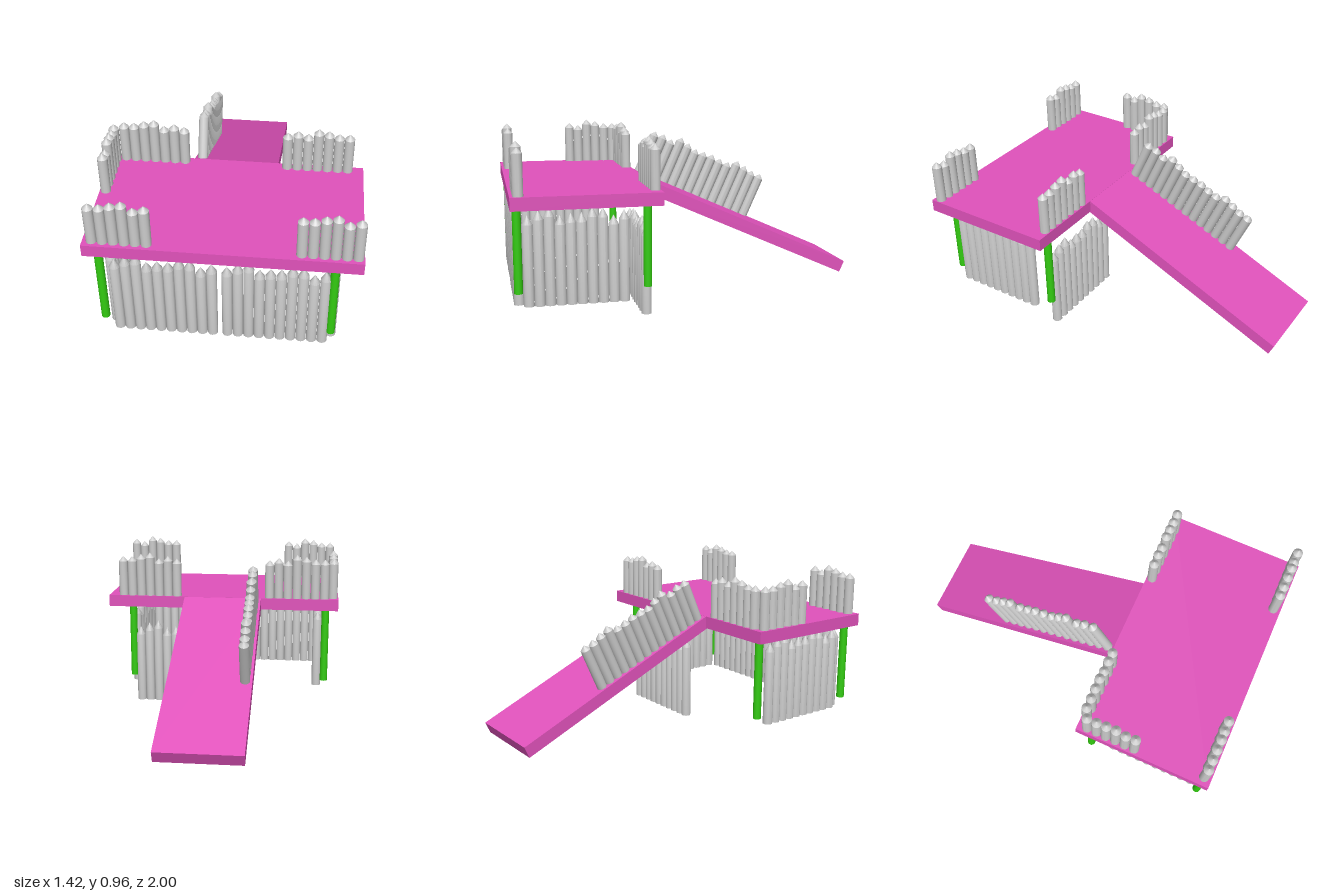
import * as THREE from 'three';
import { toCreasedNormals } from 'three/addons/utils/BufferGeometryUtils.js';

const PITCH = 0.0562;
const R = 0.028;
// Picket lengths, repeated along every fence
const UPPER = [0.245, 0.245, 0.26, 0.27, 0.235, 0.25, 0.235];
const LOWER = [0.485, 0.51, 0.525, 0.48, 0.49, 0.49, 0.515, 0.51, 0.47, 0.495];
const RAMP = [0.27, 0.275, 0.265, 0.3, 0.285, 0.27, 0.275, 0.28, 0.275, 0.275, 0.305, 0.295, 0.285, 0.285];

const grey = new THREE.MeshStandardMaterial({ color: 0xcccccc });
const pink = new THREE.MeshStandardMaterial({ color: 0xe052bb });
const green = new THREE.MeshStandardMaterial({ color: 0x33cc11 });

// Round post with a pointed top
function picketGeometry(length, tip) {
  const profile = [[0, 0], [R, 0], [R, length - tip], [0, length]].map(([x, y]) => new THREE.Vector2(x, y));
  return toCreasedNormals(new THREE.LatheGeometry(profile, 14), 0.6);
}

// Row of pickets starting at `start` and running along the unit vector `dir`
function fence(name, lengths, count, start, dir, tip) {
  const row = new THREE.Group();
  row.name = name;
  for (let i = 0; i < count; i++) {
    const picket = new THREE.Mesh(picketGeometry(lengths[i % lengths.length], tip), grey);
    picket.name = 'picket';
    picket.position.set(...start).addScaledVector(new THREE.Vector3(...dir), i * PITCH);
    row.add(picket);
  }
  return row;
}

export function createModel() {
  const model = new THREE.Group();
  model.name = 'playPlatform';

  // Deck
  const deck = new THREE.Mesh(new THREE.BoxGeometry(1.425, 0.07, 0.785), pink);
  deck.name = 'deck';
  deck.position.set(-0.002, 0.66, 0.6075);
  model.add(deck);

  // Ramp with its railing; local -z runs down the slope, y = 0 is its top
  const ramp = new THREE.Group();
  ramp.name = 'ramp';
  const length = Math.hypot(1.215, 0.543);
  const board = new THREE.Mesh(new THREE.BoxGeometry(0.475, 0.07, length), pink);
  board.name = 'rampBoard';
  board.position.set(-0.003, -0.035, -length / 2);
  ramp.add(board);
  ramp.add(fence('rampRailing', RAMP, 14, [-0.2, -0.005, -0.038], [0, 0, -1], 0.028));
  ramp.position.set(0, 0.694, 0.215);
  ramp.rotation.x = -Math.atan2(0.543, 1.215);
  model.add(ramp);

  // Legs
  for (const x of [-0.638, 0.571]) {
    for (const z of [0.963, 0.277]) {
      const leg = new THREE.Mesh(new THREE.CylinderGeometry(0.023, 0.023, 0.465, 16), green);
      leg.name = 'leg';
      leg.position.set(x, 0.3975, z);
      model.add(leg);
    }
  }

  // Fences on the deck
  const upper = [
    ['frontRightRailing', 6, -0.666, 0.957, 1, 0],
    ['frontLeftRailing', 6, 0.397, 0.957, 1, 0],
    ['backRightRailing', 7, -0.628, 0.245, 1, 0],
    ['backLeftRailing', 7, 0.622, 0.245, -1, 0],
    ['sideRailing', 6, -0.681, 0.27, 0, 1],
  ];
  for (const [name, n, x, z, dx, dz] of upper) {
    model.add(fence(name, UPPER, n, [x, 0.693, z], [dx, 0, dz], 0.03));
  }

  // Fences below the deck; the back one stands lower
  const lower = [
    ['lowerFrontRightFence', -0.563, 0.095, 0.96, 1, 0],
    ['lowerFrontLeftFence', 0.022, 0.095, 0.96, 1, 0],
    ['lowerLeftFence', 0.574, 0.095, 0.91, 0, -1],
    ['lowerRightFence', -0.592, 0.095, 0.404, 0, 1],
    ['lowerBackFence', 0.526, 0, 0.277, -1, 0],
  ];
  for (const [name, x, y, z, dx, dz] of lower) {
    model.add(fence(name, LOWER, 10, [x, y, z], [dx, 0, dz], 0.05));
  }
  return model;
}
